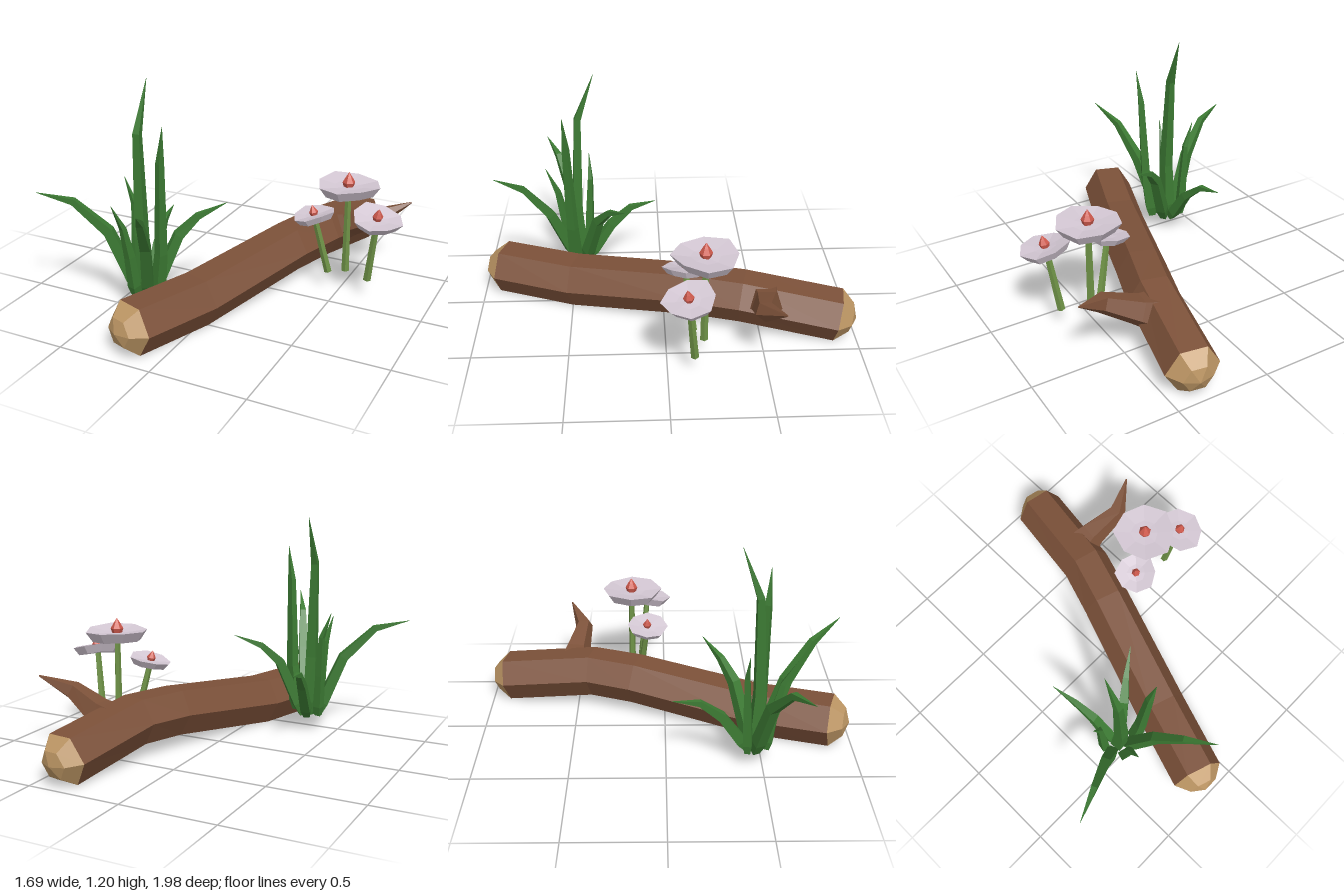
import * as THREE from 'three';

const V = (p) => new THREE.Vector3(...p);
const mat = (color) => new THREE.MeshStandardMaterial({ color, flatShading: true, roughness: 0.9, side: THREE.DoubleSide });
const bark = mat(0x7c5139), wood = mat(0xbd9664), leaf = mat(0x3c7a33);
const stalk = mat(0x6f9347), petal = mat(0xd3c7d3), bud = mat(0xcf5a4d);

function add(parent, name, geometry, material) {
  const mesh = new THREE.Mesh(geometry, material);
  mesh.name = name;
  parent.add(mesh);
  return mesh;
}

// Faceted tube through points, one radius per point; side fixes the roll
function sweep(points, radii, sides, side, phase = 0) {
  const pts = points.map((p) => (p.isVector3 ? p : V(p)));
  const last = pts.length - 1;
  const rings = pts.map((p, i) => {
    const t = new THREE.Vector3();
    if (i > 0) t.add(p.clone().sub(pts[i - 1]).normalize());
    if (i < last) t.add(pts[i + 1].clone().sub(p).normalize());
    t.normalize();
    const u = side.clone().addScaledVector(t, -side.dot(t)).normalize();
    const v = t.clone().cross(u);
    return Array.from({ length: sides }, (_, j) => {
      const a = phase + (j / sides) * Math.PI * 2;
      return p.clone().addScaledVector(u, radii[i] * Math.cos(a)).addScaledVector(v, radii[i] * Math.sin(a));
    });
  });
  const out = [];
  const tri = (...c) => c.forEach((p) => out.push(p.x, p.y, p.z));
  for (let j = 0; j < sides; j++) {
    const k = (j + 1) % sides;
    for (let i = 0; i < last; i++) {
      const a = rings[i], b = rings[i + 1];
      if (radii[i] > 0) tri(a[j], a[k], b[k]);
      if (radii[i + 1] > 0) tri(a[j], b[k], b[j]);
    }
    if (radii[0] > 0) tri(pts[0], rings[0][k], rings[0][j]);
    if (radii[last] > 0) tri(pts[last], rings[last][j], rings[last][k]);
  }
  const g = new THREE.BufferGeometry();
  g.setAttribute('position', new THREE.Float32BufferAttribute(out, 3));
  g.computeVertexNormals();
  return g;
}

function makeLog() {
  const log = new THREE.Group();
  log.name = 'log';
  const side = V([0.94, 0, 0.34]);
  const path = [[-0.165, 0.142, 0.89], [-0.025, 0.132, 0.48], [0.195, 0.2, -0.16], [0.277, 0.205, -0.41], [0.365, 0.132, -0.905]].map(V);
  add(log, 'trunk', sweep(path, [0.141, 0.143, 0.138, 0.138, 0.139], 6, side), bark);

  // Bevelled cut ends
  [['frontCut', path[0], path[1], 0.141], ['backCut', path[4], path[3], 0.139]].forEach(([name, end, inner, r]) => {
    const d = end.clone().sub(inner).normalize();
    const pts = [0, 0.07, 0.096].map((s) => end.clone().addScaledVector(d, s));
    add(log, name, sweep(pts, [r, 0.077, 0], 6, side), wood);
  });

  // Broken side branch
  add(log, 'branch', sweep([[0.33, 0.21, -0.52], [0.43, 0.25, -0.515], [0.61, 0.335, -0.48], [0.765, 0.415, -0.56]],
    [0.11, 0.08, 0.052, 0.004], 5, V([0, 0, 1]), 0.3), bark);
  return log;
}

function makeGrass() {
  const grass = new THREE.Group();
  grass.name = 'grass';
  // Each blade: base, lower bend, upper bend, tip, then base radius
  const blades = [
    [[-0.345, 0.09, 0.46], [-0.345, 0.42, 0.475], [-0.36, 0.95, 0.455], [-0.355, 1.21, 0.36], 0.046],
    [[-0.255, 0.1, 0.49], [-0.22, 0.35, 0.5], [-0.2, 0.84, 0.515], [-0.175, 1.03, 0.525], 0.04],
    [[-0.385, 0.09, 0.46], [-0.515, 0.425, 0.52], [-0.67, 0.59, 0.595], [-0.84, 0.635, 0.67], 0.042],
    [[-0.31, 0.09, 0.44], [-0.2, 0.4, 0.355], [-0.12, 0.495, 0.29], [0.005, 0.56, 0.2], 0.04],
    [[-0.31, 0.1, 0.49], [-0.235, 0.43, 0.62], [-0.175, 0.62, 0.755], [-0.1, 0.72, 0.9], 0.042],
    [[-0.41, 0.1, 0.42], [-0.42, 0.33, 0.41], [-0.43, 0.55, 0.4], [-0.48, 0.69, 0.405], 0.032],
    [[-0.37, 0.1, 0.52], [-0.375, 0.32, 0.55], [-0.385, 0.49, 0.585], [-0.405, 0.63, 0.65], 0.034],
    [[-0.345, 0.09, 0.42], [-0.365, 0.29, 0.285], [-0.39, 0.385, 0.17], [-0.415, 0.41, 0.03], 0.038],
  ];
  blades.forEach(([base, low, high, tip, r], i) => {
    const side = V([tip[2] - base[2], 0, base[0] - tip[0]]).normalize();
    const swell = V(base).lerp(V(low), 0.22);
    add(grass, 'blade' + (i + 1), sweep([base, swell, low, high, tip], [r * 0.65, r, r * 0.85, r * 0.55, 0.001], 4, side, Math.PI / 4), leaf);
  });
  return grass;
}

function makeFlower(name, base, top, radius, budSize, tilt) {
  const flower = new THREE.Group();
  flower.name = name;
  add(flower, 'stem', sweep([base, top], [0.021, 0.016], 5, V([1, 0, 0])), stalk);

  const head = new THREE.Group();
  head.name = 'head';
  head.position.set(...top);
  head.rotation.set(tilt[0], 0, tilt[1]);
  flower.add(head);

  // Shallow dish with an uneven rim
  const profile = [[0, -0.03], [0.78, -0.03], [1, 0.025], [0.45, 0.012], [0, 0.008]].map(([r, y]) => new THREE.Vector2(r * radius, y * radius / 0.165));
  const dish = new THREE.LatheGeometry(profile, 8);
  const pos = dish.attributes.position;
  for (let i = 0; i < pos.count; i++) {
    const a = Math.atan2(pos.getZ(i), pos.getX(i));
    const s = 1.02 + 0.05 * Math.cos(3 * a + 1);
    pos.setXYZ(i, pos.getX(i) * s, pos.getY(i) + 0.008 * Math.sin(2 * a) * Math.hypot(pos.getX(i), pos.getZ(i)) / radius, pos.getZ(i) * s);
  }
  add(head, 'petals', dish, petal);

  // Pointed bud
  const budProfile = [[0, 0], [0.7, 0], [1, 0.95], [0.55, 1.75], [0, 2.6]].map(([r, y]) => new THREE.Vector2(r * budSize, y * budSize));
  add(head, 'bud', new THREE.LatheGeometry(budProfile, 6), bud);
  return flower;
}

export function createModel() {
  const model = new THREE.Group();
  model.name = 'logWithPlants';
  model.add(makeLog(), makeGrass(),
    makeFlower('tallFlower', [0.52, 0.11, -0.19], [0.52, 0.59, -0.19], 0.165, 0.034, [0, 0]),
    makeFlower('smallFlower', [0.44, 0.11, -0.14], [0.367, 0.437, -0.1], 0.112, 0.024, [0.05, 0.22]),
    makeFlower('sideFlower', [0.662, 0.11, -0.135], [0.712, 0.472, -0.1], 0.13, 0.028, [0.15, -0.16]));
  return model;
}
